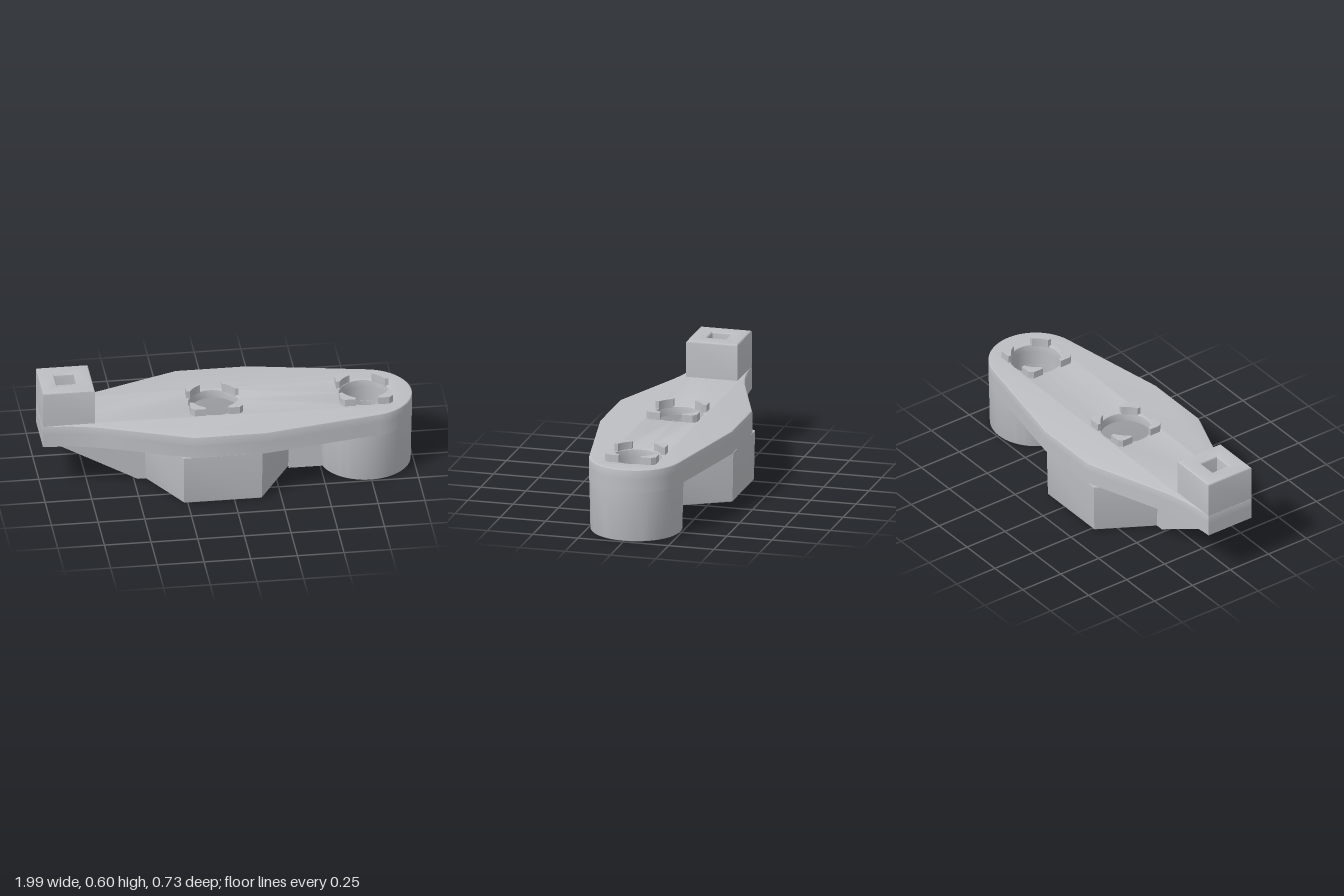
import * as THREE from 'three';
import { toCreasedNormals } from 'three/addons/utils/BufferGeometryUtils.js';

const HUB_X = -0.062, END_X = 0.745, BORE = 0.135, TOP = 0.4, UNDER = 0.275, CEILING = 0.35;

export function createModel() {
  const group = new THREE.Group();
  const gray = new THREE.MeshStandardMaterial({ color: 0xbcbec2 });
  gray.name = 'light gray';

  function add(name, geo) {
    const mesh = new THREE.Mesh(toCreasedNormals(geo, 0.5), gray);
    mesh.name = name;
    group.add(mesh);
  }

  // Upright extrusion from y0 to y1, with only one end ('top' or 'bottom') rounded
  function solid(shape, y0, y1, bevel = 0, end = 'top') {
    const geo = new THREE.ExtrudeGeometry(shape, {
      depth: y1 - y0 - 2 * bevel, bevelEnabled: bevel > 0, bevelSize: bevel,
      bevelThickness: bevel, bevelOffset: -bevel, bevelSegments: 3, curveSegments: 32
    });
    geo.rotateX(-Math.PI / 2).translate(0, y0 + bevel, 0);
    const p = geo.attributes.position;
    for (let i = 0; i < p.count; i++) {
      const y = p.getY(i);
      if (end === 'top' && y < y0 + bevel + 1e-4) p.setY(i, y0);
      if (end === 'bottom' && y > y1 - bevel - 1e-4) p.setY(i, y1);
    }
    return geo;
  }

  // Draft angle: shrink towards the ground around a vertical axis
  function taper(geo, cx, amount) {
    const p = geo.attributes.position;
    for (let i = 0; i < p.count; i++) {
      const s = 1 - amount * (1 - p.getY(i) / TOP);
      p.setX(i, cx + (p.getX(i) - cx) * s);
      p.setZ(i, p.getZ(i) * s);
    }
    return geo;
  }

  const circle = (x, r, C = THREE.Path) => new C().absarc(x, 0, r, 0, Math.PI * 2, false);

  function polygon(x, r, C = THREE.Path) {
    const pts = [];
    for (let i = 0; i < 6; i++) {
      const a = i * Math.PI / 3;
      pts.push(new THREE.Vector2(x + r * Math.cos(a), r * Math.sin(a)));
    }
    return new C(pts);
  }

  // Arm outline seen from above: flared tail, wide middle, round end
  function armOutline() {
    const s = new THREE.Shape();
    s.moveTo(-0.997, -0.142);
    s.quadraticCurveTo(-0.82, -0.15, -0.68, -0.195);
    s.lineTo(-0.22, -0.365);
    s.lineTo(0.165, -0.365);
    s.absarc(END_X, 0, 0.252, -1.4, 1.4, false);
    s.lineTo(0.165, 0.365);
    s.lineTo(-0.22, 0.365);
    s.lineTo(-0.68, 0.195);
    s.quadraticCurveTo(-0.82, 0.15, -0.997, 0.142);
    s.closePath();
    return s;
  }

  // Arm in two layers: the lower one is opened by the hexagonal pocket
  const lower = armOutline();
  lower.holes.push(polygon(HUB_X, 0.33), circle(END_X, BORE));
  add('armLower', solid(lower, UNDER, CEILING));
  const upper = armOutline();
  upper.holes.push(circle(HUB_X, BORE), circle(END_X, BORE));
  add('armUpper', solid(upper, CEILING, TOP, 0.008));

  // Hollow hexagonal hub
  const hub = polygon(HUB_X, 0.425, THREE.Shape);
  hub.holes.push(polygon(HUB_X, 0.33));
  add('hexHub', taper(solid(hub, 0, UNDER, 0.008, 'bottom'), HUB_X, 0.022));

  // Round end boss
  const boss = circle(END_X, 0.252, THREE.Shape);
  boss.holes.push(circle(END_X, BORE));
  add('endBoss', taper(solid(boss, 0, UNDER, 0.008, 'bottom'), END_X, 0.03));

  // Web between hub and boss
  add('web', new THREE.BoxGeometry(0.2, 0.29, 0.12).translate(0.43, 0.148, 0));

  // Sloping rib under the tail
  const rib = new THREE.Shape([[-0.41, 0.003], [-0.41, 0.29], [-0.97, 0.29], [-0.97, 0.275], [-0.48, 0.003]]
    .map(([x, y]) => new THREE.Vector2(x, y)));
  add('tailRib', new THREE.ExtrudeGeometry(rib, { depth: 0.14, bevelEnabled: false }).translate(0, 0, -0.07));

  // Tail block with a square socket
  const rect = (C, x0, x1, z) => new C([[x0, -z], [x1, -z], [x1, z], [x0, z]]
    .map(([x, y]) => new THREE.Vector2(x, y)));
  const block = rect(THREE.Shape, -0.997, -0.718, 0.142);
  block.holes.push(rect(THREE.Path, -0.91, -0.808, 0.051));
  add('tailBlock', taper(solid(block, TOP - 0.002, 0.6, 0.012), -0.857, -0.0));
  add('socketFloor', new THREE.BoxGeometry(0.12, 0.1, 0.12).translate(-0.859, 0.45, 0));

  // Four corner clips around each bore
  const a0 = Math.asin(0.06 / BORE), a1 = Math.PI / 2 - a0;
  const clip = new THREE.Shape();
  clip.moveTo(0.14, 0.06);
  clip.lineTo(0.14, 0.12);
  clip.lineTo(0.12, 0.14);
  clip.lineTo(0.06, 0.14);
  clip.absarc(0, 0, BORE, a1, a0, true);
  clip.closePath();
  for (const [name, x] of [['hubClip', HUB_X], ['endClip', END_X - 0.005]]) {
    for (let i = 0; i < 4; i++) {
      add(name, solid(clip, TOP - 0.01, 0.44).rotateY(i * Math.PI / 2).translate(x, 0, 0));
    }
  }
  return group;
}
